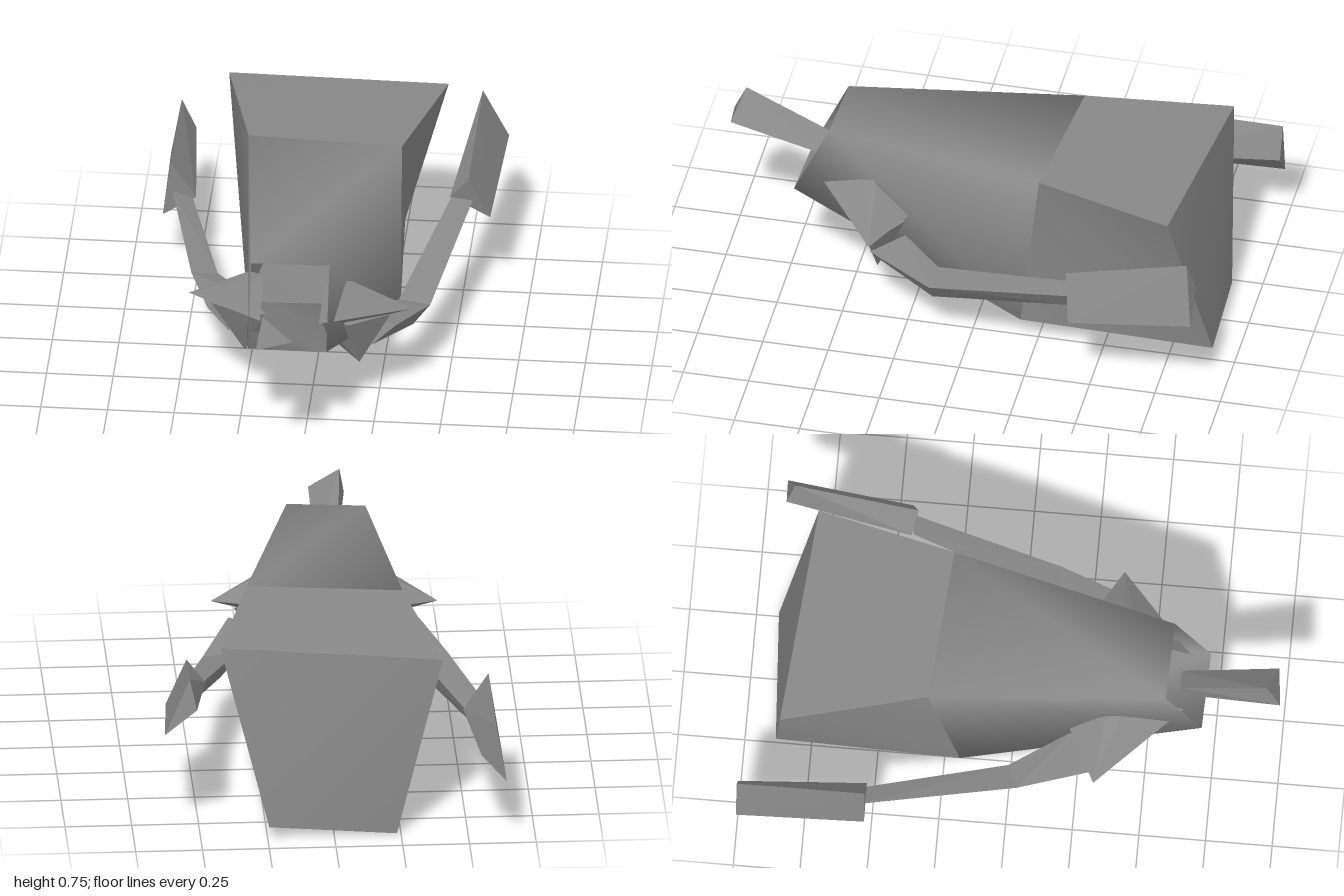
import * as THREE from 'three';
import { toCreasedNormals } from 'three/addons/utils/BufferGeometryUtils.js';
import { ConvexGeometry } from 'three/addons/geometries/ConvexGeometry.js';

// Skin two four-sided rings (front, back; counter-clockwise seen from +z), optionally closing the back
function loft(front, back, crease, capBack) {
  const pos = [];
  const tri = (a, b, c) => pos.push(...a, ...b, ...c);
  for (let i = 0; i < 4; i++) {
    const j = (i + 1) % 4;
    tri(front[i], back[i], front[j]);
    tri(back[i], back[j], front[j]);
  }
  if (capBack) {
    tri(back[1], back[0], back[3]);
    tri(back[1], back[3], back[2]);
  }
  const geo = new THREE.BufferGeometry();
  geo.setAttribute('position', new THREE.Float32BufferAttribute(pos, 3));
  return toCreasedNormals(geo, crease);
}

export function createModel() {
  const model = new THREE.Group();
  const grey = new THREE.MeshStandardMaterial({ color: 0x888888, side: THREE.DoubleSide });
  grey.name = 'grey';

  const add = (name, geo) => {
    const mesh = new THREE.Mesh(geo, grey);
    mesh.name = name;
    model.add(mesh);
  };
  // Faceted solid around a few corner points
  const hull = (name, pts) => add(name, new ConvexGeometry(pts.map(p => new THREE.Vector3(...p))));

  // Hollow body, open at the mouth: bottom left, bottom right, top right, top left from the front
  const mouth = [[-0.205, 0.415, 0.71], [0.09, 0.42, 0.72], [0.09, 0.715, 0.585], [-0.205, 0.705, 0.575]];
  const waist = [[-0.285, 0.09, -0.19], [0.29, 0.1, -0.19], [0.29, 0.75, -0.26], [-0.29, 0.74, -0.31]];
  const rear = [[-0.235, 0, -0.885], [0.245, 0.05, -0.915], [0.42, 0.725, -0.78], [-0.41, 0.69, -0.855]];
  add('frontBody', loft(mouth, waist, 1.7, false));
  add('rearBody', loft(waist, rear, 0.9, true));

  // Three-sided tongue
  hull('tongue', [
    [-0.13, 0.695, 0.95], [-0.15, 0.58, 1.0], [-0.015, 0.61, 0.985],
    [-0.105, 0.56, 0.62], [-0.095, 0.46, 0.62], [-0.02, 0.51, 0.62]]);

  // Shoulder fins: an outward spike and a downward spike on each side, rooted inside the mouth
  hull('leftFin', [
    [0.387, 0.42, 0.37], [0.155, 0.54, 0.39], [0.055, 0.495, 0.645],
    [0.065, 0.57, 0.46], [0.19, 0.44, 0.26], [0.15, 0.35, 0.38]]);
  hull('leftSpike', [
    [0.185, 0.185, 0.38], [0.07, 0.325, 0.43], [0.3, 0.39, 0.37],
    [0.2, 0.42, 0.27], [0.155, 0.4, 0.48], [0.055, 0.42, 0.5]]);
  hull('rightFin', [
    [-0.46, 0.42, 0.325], [-0.23, 0.54, 0.35], [-0.165, 0.495, 0.64],
    [-0.17, 0.57, 0.43], [-0.26, 0.44, 0.22], [-0.22, 0.35, 0.34]]);
  hull('rightSpike', [
    [-0.25, 0.195, 0.34], [-0.155, 0.325, 0.4], [-0.375, 0.38, 0.325],
    [-0.27, 0.42, 0.23], [-0.225, 0.4, 0.44], [-0.16, 0.42, 0.46]]);

  // Bent arms, one solid per segment
  const arms = {
    leftArm: [
      [[0.2, 0.355, 0.27], [0.32, 0.348, 0.38], [0.23, 0.255, 0.37]],
      [[0.31, 0.31, 0.12], [0.43, 0.3, 0.13], [0.365, 0.212, 0.13]],
      [[0.46, 0.44, -0.43], [0.54, 0.43, -0.43], [0.5, 0.36, -0.43]]],
    rightArm: [
      [[-0.24, 0.36, 0.23], [-0.39, 0.355, 0.32], [-0.31, 0.26, 0.32]],
      [[-0.38, 0.32, 0], [-0.475, 0.34, 0.04], [-0.395, 0.235, 0.03]],
      [[-0.52, 0.335, -0.53], [-0.595, 0.36, -0.53], [-0.535, 0.29, -0.53]]],
  };
  for (const [name, s] of Object.entries(arms)) {
    hull(name + 'Upper', [...s[0], ...s[1]]);
    hull(name + 'Lower', [...s[1], ...s[2]]);
  }

  // Wedge paddles at the arm ends
  hull('leftPaddle', [
    [0.525, 0.525, -0.415], [0.605, 0.355, -0.44], [0.455, 0.44, -0.435],
    [0.54, 0.645, -0.88], [0.635, 0.435, -0.915], [0.515, 0.53, -0.91]]);
  hull('rightPaddle', [
    [-0.6, 0.485, -0.52], [-0.63, 0.26, -0.52], [-0.505, 0.34, -0.52],
    [-0.6, 0.48, -1], [-0.64, 0.25, -1], [-0.545, 0.36, -1]]);

  return model;
}
